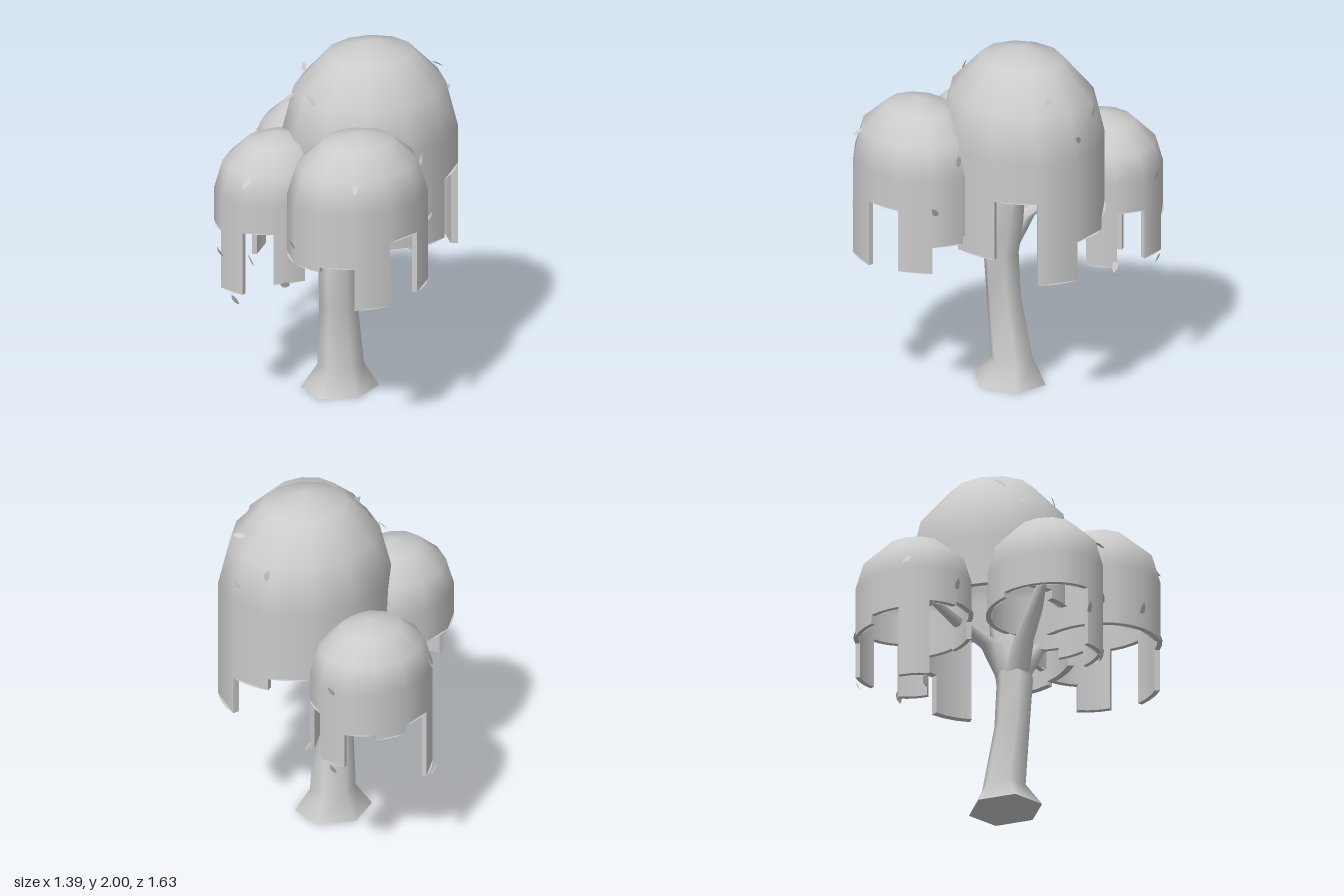
import * as THREE from 'three';
import { mergeVertices, mergeGeometries } from 'three/addons/utils/BufferGeometryUtils.js';

const mat = new THREE.MeshStandardMaterial({ color: 0xcccccc, side: THREE.DoubleSide });
const SIDES = 12, STEP = Math.PI * 2 / SIDES, INNER = 0.92;

// Each crown: centre, radii, height of its equator, the lower edge of each of the 12
// curtain panels (from +z towards +x), and leaves as [angle in degrees, height, roll].
const CROWNS = [
  { name: 'mainCrown', x: 0.18, z: 0.045, rx: 0.485, rz: 0.43, y: 1.49, h: 0.51,
    hem: [0.93, 1.27, 0.8, 1.02, 1.09, 1.17, 1.17, 1.2, 1.2, 1.15, 1.1, 0.95],
    leaves: [[91, 1.61, 1.2], [72, 1.81, 2.6], [117, 1.71, 0.3], [248, 1.7, 2.2], [232, 1.83, 0.2], [281, 1.76, 0.4]] },
  { name: 'frontCrown', x: -0.16, z: 0.48, rx: 0.39, rz: 0.335, y: 1.36, h: 0.34,
    hem: [1.18, 0.83, 0.98, 1.02, 1.02, 1.02, 1.02, 1.02, 1.02, 1.02, 1.05, 0.81],
    leaves: [[62, 1.19, 0.5], [330, 1.5, 2.8], [86, 1.46, 0.4], [268, 1.13, 0.1]] },
  { name: 'sideCrown', x: -0.35, z: -0.045, rx: 0.345, rz: 0.295, y: 1.24, h: 0.31,
    hem: [0.88, 0.94, 1.02, 1.02, 1.02, 1.02, 1.05, 1.05, 1.05, 0.72, 1.08, 0.79],
    leaves: [[302, 1.36, 2.6], [271, 0.93, 0.2], [292, 0.69, 0.3], [340, 0.79, 1.2]] },
  { name: 'backCrown', x: 0.175, z: -0.52, rx: 0.345, rz: 0.3, y: 1.18, h: 0.29,
    hem: [0.93, 0.7, 1.01, 0.73, 0.93, 0.9, 0.95, 0.55, 0.98, 1.0, 1.02, 0.92],
    leaves: [[106, 1.19, 0.3], [270, 1.1, 0.2], [218, 1.22, 2.2], [236, 0.51, 0.1], [108, 0.71, 0.2], [58, 0.71, 2.9]] },
];

// Pointed leaf, folded along its midrib
function leafGeometry() {
  const s = new THREE.Shape();
  s.moveTo(0, -0.04);
  s.quadraticCurveTo(0.034, -0.005, 0, 0.04);
  s.quadraticCurveTo(-0.034, -0.005, 0, -0.04);
  const g = new THREE.ShapeGeometry(s, 3);
  const p = g.attributes.position;
  for (let i = 0; i < p.count; i++) p.setZ(i, Math.abs(p.getX(i)) * 0.6 + p.getY(i) ** 2 * 4);
  g.computeVertexNormals();
  return g;
}

// Curtain of hanging panels: outer and inner wall, lower rim, and the cut edges between steps
function curtainGeometry(c) {
  const parts = [];
  c.hem.forEach((bottom, i) => {
    const a = i * STEP, h = c.y - bottom;
    for (const r of [1, INNER]) {
      const wall = new THREE.CylinderGeometry(r, r, h, 1, 1, true, a, STEP);
      parts.push(wall.translate(0, c.y - h / 2, 0));
    }
    const rim = new THREE.RingGeometry(INNER, 1, 1, 1, Math.PI / 2 - a - STEP, STEP);
    parts.push(rim.rotateX(Math.PI / 2).translate(0, bottom, 0));
    const next = c.hem[(i + 1) % SIDES], gap = Math.abs(next - bottom);
    if (gap > 0.001) {
      const edge = new THREE.PlaneGeometry(1 - INNER, gap);
      parts.push(edge.translate((1 + INNER) / 2, (next + bottom) / 2, 0).rotateY(a + STEP - Math.PI / 2));
    }
  });
  return mergeGeometries(parts);
}

function makeCrown(c, leafGeo) {
  const group = new THREE.Group();
  group.name = c.name;
  const body = new THREE.Group();
  body.name = c.name + 'Body';
  body.position.set(c.x, 0, c.z);
  body.scale.set(c.rx, 1, c.rz);
  const dome = new THREE.Mesh(new THREE.SphereGeometry(1, SIDES, 3, 0, Math.PI * 2, 0, Math.PI / 2), mat);
  dome.name = 'dome';
  dome.scale.y = c.h;
  dome.position.y = c.y;
  const curtain = new THREE.Mesh(curtainGeometry(c), mat);
  curtain.name = 'hangingCurtain';
  body.add(dome, curtain);
  group.add(body);
  // loose leaves on the surface
  for (const [deg, y, roll] of c.leaves) {
    const a = THREE.MathUtils.degToRad(deg), up = Math.max(0, (y - c.y) / c.h);
    const r = Math.sqrt(1 - up * up);
    const out = new THREE.Vector3(Math.sin(a) * r / c.rx, up / c.h, Math.cos(a) * r / c.rz).normalize();
    const leaf = new THREE.Mesh(leafGeo, mat);
    leaf.name = 'leaf';
    leaf.position.set(c.x + Math.sin(a) * r * c.rx, y, c.z + Math.cos(a) * r * c.rz);
    leaf.quaternion.setFromUnitVectors(new THREE.Vector3(0, 0, 1), out);
    leaf.rotateZ(roll);
    leaf.rotateX(0.5);
    group.add(leaf);
  }
  return group;
}

// Six-sided limb through rings [x, y, z, radiusX, radiusZ]
function limb(name, rings) {
  const n = rings.length - 1;
  const g = new THREE.CylinderGeometry(1, 1, 1, 6, n, true);
  const p = g.attributes.position;
  for (let i = 0; i < p.count; i++) {
    const [x, y, z, rx, rz = rx] = rings[n - Math.floor(i / 7)];
    p.setXYZ(i, x + p.getX(i) * rx, y, z + p.getZ(i) * rz);
  }
  g.deleteAttribute('uv');
  g.deleteAttribute('normal');
  const merged = mergeVertices(g);
  merged.computeVertexNormals();
  const mesh = new THREE.Mesh(merged, mat);
  mesh.name = name;
  return mesh;
}

export function createModel() {
  const tree = new THREE.Group();
  tree.name = 'tree';

  // Trunk with flared foot
  tree.add(limb('trunk', [
    [0.02, 0, 0, 0.215, 0.193], [0.028, 0.13, -0.005, 0.128, 0.115], [-0.005, 0.5, 0.025, 0.105, 0.093],
    [-0.015, 0.75, 0.035, 0.108, 0.095], [0.03, 0.95, 0.03, 0.1, 0.09], [0.1, 1.2, 0.04, 0.07], [0.16, 1.5, 0.045, 0.03],
  ]));
  const foot = new THREE.Mesh(new THREE.CircleGeometry(1, 6, Math.PI / 2), mat);
  foot.name = 'trunkFoot';
  foot.rotation.x = Math.PI / 2;
  foot.scale.set(0.215, 0.193, 1);
  foot.position.set(0.02, 0, 0);
  tree.add(foot);

  // Branches into the smaller crowns
  const branches = {
    frontBranch: [[-0.01, 0.76, 0.04, 0.08], [-0.06, 0.97, 0.15, 0.06], [-0.11, 1.1, 0.3, 0.05], [-0.16, 1.35, 0.46, 0.02]],
    sideBranch: [[-0.02, 0.76, 0.03, 0.08], [-0.11, 0.95, 0.01, 0.06], [-0.23, 1.08, -0.02, 0.05], [-0.34, 1.26, -0.04, 0.02]],
    backBranch: [[0, 0.78, 0.02, 0.08], [0.05, 0.95, -0.07, 0.06], [0.1, 1.05, -0.25, 0.05], [0.16, 1.2, -0.48, 0.02]],
  };
  for (const [name, rings] of Object.entries(branches)) tree.add(limb(name, rings));

  // Leafy crowns
  const leafGeo = leafGeometry();
  for (const c of CROWNS) tree.add(makeCrown(c, leafGeo));
  return tree;
}
